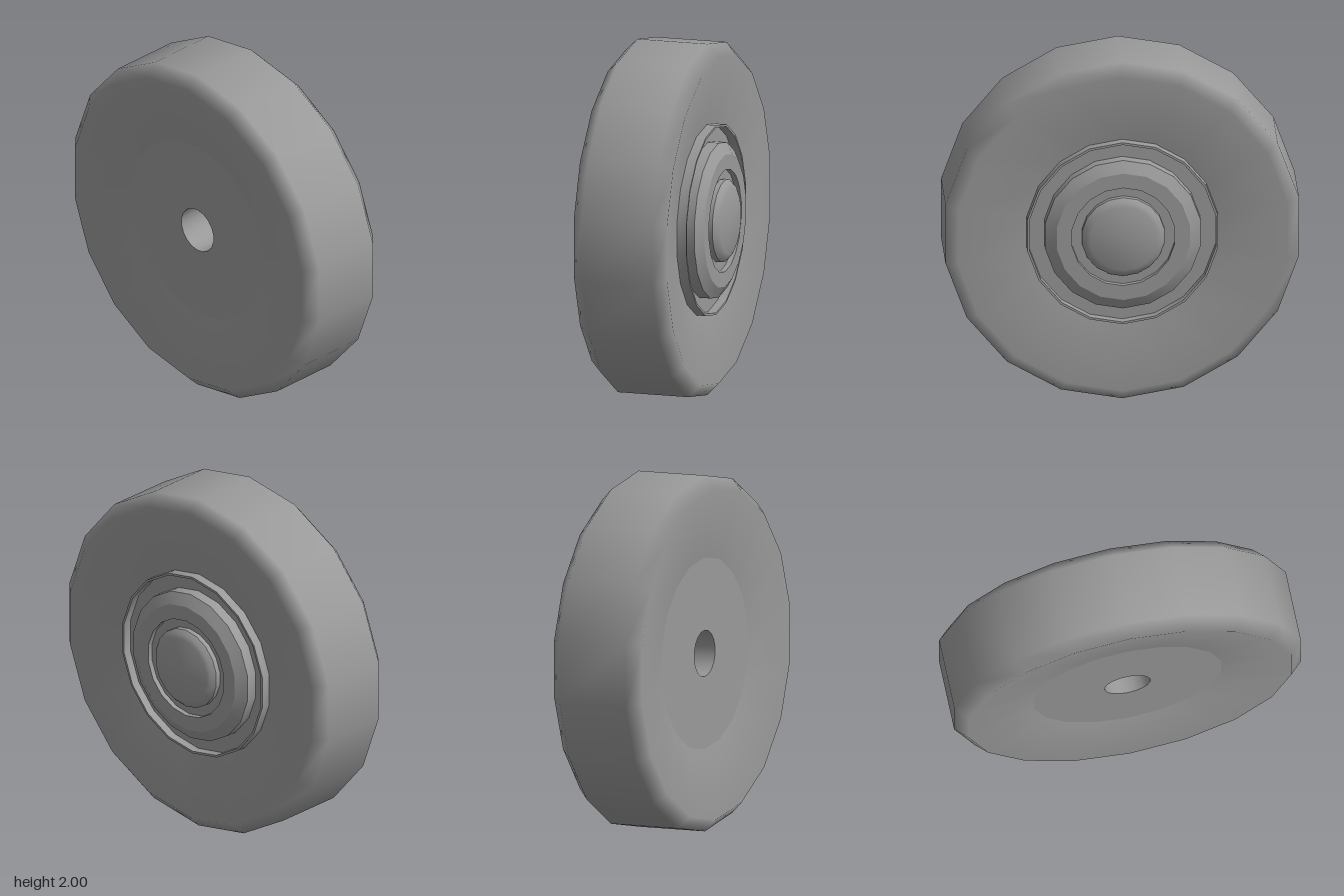
import * as THREE from 'three';
import { toCreasedNormals } from 'three/addons/utils/BufferGeometryUtils.js';

const SIDES = 18;
const material = new THREE.MeshStandardMaterial({ color: 0x999999 });

// Revolves [radius, x] points around the x axis, with a vertex at the very top.
function turned(name, profile, creaseAngle) {
  const points = profile.map(([r, x]) => new THREE.Vector2(r, x));
  let geometry = new THREE.LatheGeometry(points, SIDES, Math.PI / 2);
  geometry.rotateZ(-Math.PI / 2);
  if (creaseAngle) geometry = toCreasedNormals(geometry, creaseAngle);
  const mesh = new THREE.Mesh(geometry, material);
  mesh.name = name;
  return mesh;
}

export function createModel() {
  const wheel = new THREE.Group();
  wheel.name = 'wheel';

  // Tyre: tread, chamfered shoulders and dished sidewalls, smooth all over
  wheel.add(turned('tyre', [
    [0.54, -0.24], [0.93, -0.31], [1, -0.24],
    [1, 0.17], [0.93, 0.237], [0.54, 0.167],
  ]));

  // Rim: thin lip standing out of the sidewall, with a groove inside it
  wheel.add(turned('rim', [
    [0.54, 0.167], [0.54, 0.222], [0.527, 0.222], [0.527, 0.172], [0.44, 0.172],
  ], 0.5));

  // Hub: bevelled disc with a recess for the cap
  wheel.add(turned('hub', [
    [0.44, 0.172], [0.44, 0.237], [0.376, 0.275],
    [0.29, 0.275], [0.29, 0.245], [0.233, 0.245],
  ], 0.5));

  // Cap: centre button with a rounded edge
  wheel.add(turned('hubCap', [
    [0.233, 0.245], [0.233, 0.275], [0.212, 0.296], [0.188, 0.307], [0, 0.307],
  ], 0.6));

  // Back plate with the blind axle hole
  wheel.add(turned('backPlate', [
    [0, 0.1], [0.13, 0.1], [0.13, -0.24], [0.54, -0.24],
  ], 0.5));

  wheel.position.y = 1;
  const model = new THREE.Group();
  model.name = 'model';
  model.add(wheel);
  return model;
}
